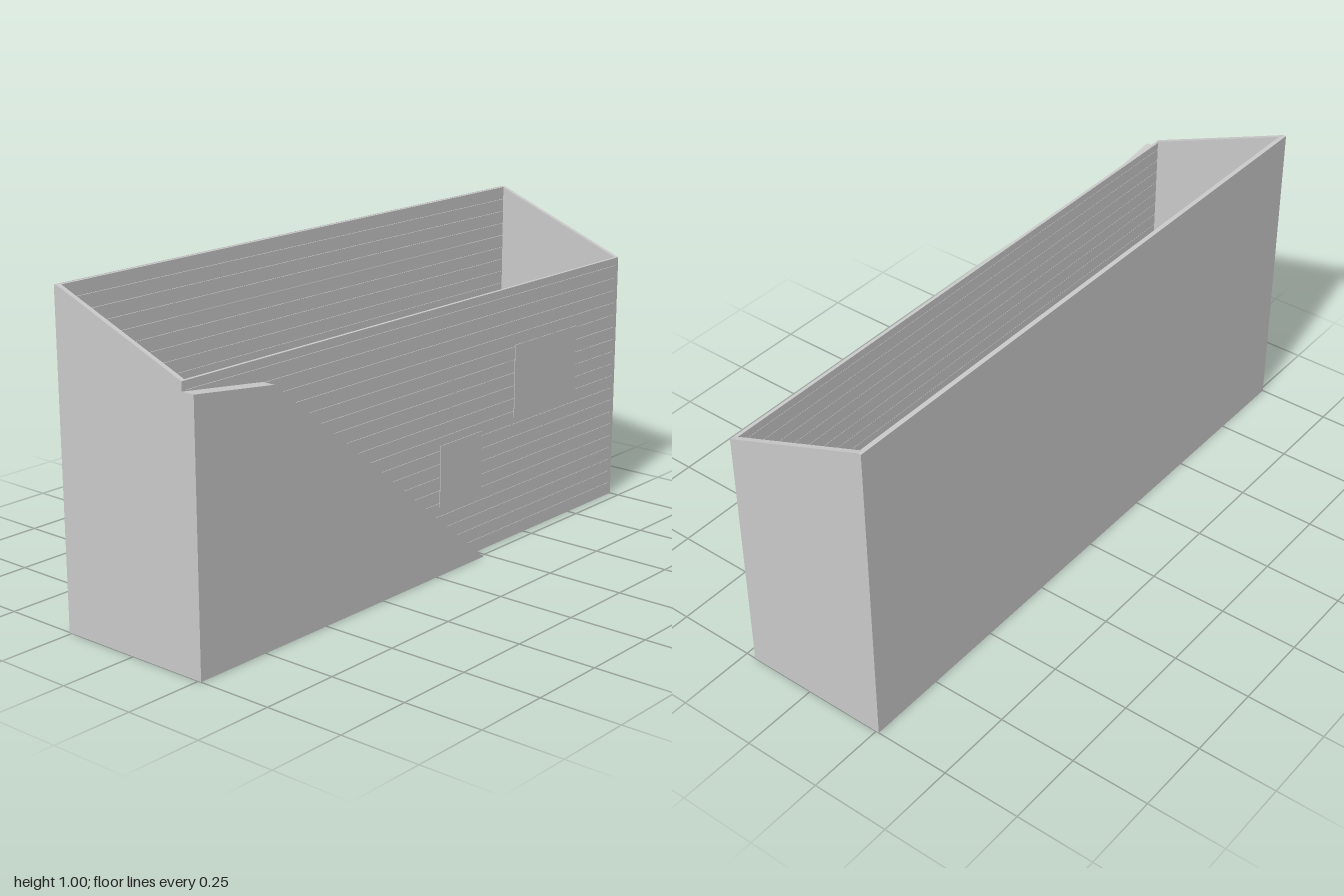
import * as THREE from 'three';

const grey = new THREE.MeshStandardMaterial({ color: 0xcacaca });
grey.name = 'wall grey';

const T = 0.015; // wall thickness
const FRONT = 0.217, BACK = -0.26, LOW = 0.817;
const PITCH = 1 / 24, GAP = 0.001; // plank spacing and joint width

export function createModel() {
  const group = new THREE.Group();

  const add = (name, geometry) => {
    const mesh = new THREE.Mesh(geometry, grey);
    mesh.name = name;
    group.add(mesh);
  };
  // Box given by its minimum and maximum corners
  const box = (name, a, b) => add(name,
    new THREE.BoxGeometry(b[0] - a[0], b[1] - a[1], b[2] - a[2])
      .translate((a[0] + b[0]) / 2, (a[1] + b[1]) / 2, (a[2] + b[2]) / 2));
  const prism = (points, depth) => new THREE.ExtrudeGeometry(
    new THREE.Shape(points.map(p => new THREE.Vector2(...p))), { depth, bevelEnabled: false });

  // Side walls with sloping tops
  const profile = [[BACK, 0], [FRONT, 0], [FRONT, LOW], [BACK + 0.01, 1], [BACK, 1]];
  for (const [name, x] of [['leftWall', 1], ['rightWall', -1 + T]]) {
    add(name, prism(profile, T).rotateY(-Math.PI / 2).translate(x, 0, 0));
  }

  // Planks with fine open joints, stacked up to a given height
  const inner = 1 - T;
  const planks = (name, height, z0, z1) => {
    for (let y = 0; y < height - GAP; y += PITCH) {
      const bottom = y === 0 ? 0 : y + GAP / 2;
      const top = Math.min(y + PITCH - GAP / 2, height);
      box(name, [-inner, bottom, z0], [inner, top, z1]);
    }
  };

  // Low front wall, and tall back wall with a smooth outer sheet
  planks('frontPlank', LOW, FRONT - 0.01, FRONT);
  planks('backPlank', 1, BACK + 0.005, BACK + T);
  box('backSheet', [-inner, 0, BACK], [inner, 1, BACK + 0.005]);

  // Plain plates on the front
  box('largePlate', [0.435, 0.395, FRONT], [0.765, 0.63, FRONT + 0.002]);
  box('smallPlate', [0.065, 0.195, FRONT], [0.27, 0.39, FRONT + 0.002]);

  // Slanting panel in front of the wall
  add('slantingPanel', prism([[-1, 0], [0.232, 0], [-0.7, 0.752], [-1, 0.79]], 0.26 - FRONT)
    .translate(0, 0, FRONT));

  return group;
}
